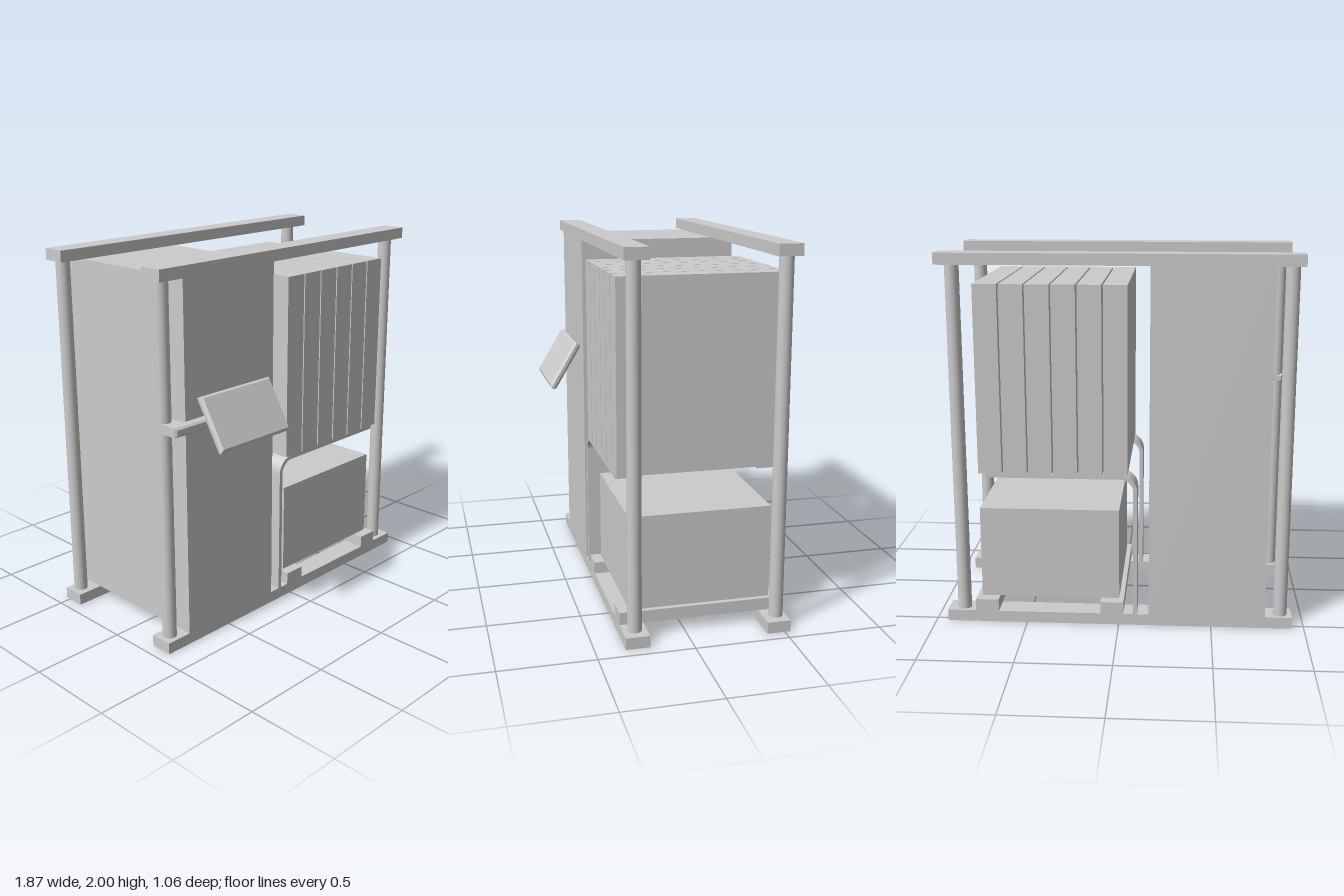
import * as THREE from 'three';

const material = new THREE.MeshStandardMaterial({ color: 0xcccccc });
const FRONT = 0.345, BACK = -0.53;      // outer faces of the frame
const RAIL_DEPTH = 0.125;

export function createModel() {
  const model = new THREE.Group();
  model.name = 'equipmentRack';

  const add = (name, geometry, parent = model) => {
    const mesh = new THREE.Mesh(geometry, material);
    mesh.name = name;
    parent.add(mesh);
    return mesh;
  };
  // Box given by its limits on each axis
  const box = (name, x0, x1, y0, y1, z0, z1, parent) => {
    const mesh = add(name, new THREE.BoxGeometry(x1 - x0, y1 - y0, z1 - z0), parent);
    mesh.position.set((x0 + x1) / 2, (y0 + y1) / 2, (z0 + z1) / 2);
    return mesh;
  };
  // Centred box with chamfered edges
  const chamferBox = (w, h, d, c) => {
    const x = w / 2 - c, y = h / 2 - c;
    const shape = new THREE.Shape([[-x, -y], [x, -y], [x, y], [-x, y]].map(p => new THREE.Vector2(...p)));
    return new THREE.ExtrudeGeometry(shape, {
      depth: d - 2 * c, bevelThickness: c, bevelSize: c, bevelSegments: 1,
    }).translate(0, 0, -d / 2 + c);
  };

  // Profile of the bent support strip: up from the floor, then along under the slabs
  const strip = new THREE.Shape();
  strip.moveTo(-0.1, 0.06);
  strip.lineTo(-0.078, 0.06);
  strip.lineTo(-0.078, 0.755);
  strip.absarc(-0.008, 0.755, 0.07, Math.PI, Math.PI / 2, true);
  strip.lineTo(0.705, 0.825);
  strip.lineTo(0.705, 0.846);
  strip.lineTo(-0.008, 0.846);
  strip.absarc(-0.008, 0.755, 0.091, Math.PI / 2, Math.PI, false);
  strip.closePath();

  // Two matching frames, front and back: rails, posts and support strip
  for (const [side, z0] of [['front', FRONT - RAIL_DEPTH], ['back', BACK]]) {
    const frame = new THREE.Group();
    frame.name = side + 'Frame';
    model.add(frame);
    const z1 = z0 + RAIL_DEPTH;
    box('bottomRail', -0.935, 0.935, 0, 0.062, z0, z1, frame);
    box('topRail', -0.935, 0.935, 1.94, 2, z0, z1, frame);
    for (const x of [-0.873, 0.852]) {
      const post = add('post', new THREE.CylinderGeometry(0.037, 0.037, 1.88, 32, 1, true), frame);
      post.position.set(x, 1.001, z0 + (side === 'front' ? 0.062 : 0.054));
    }
    const support = add('supportStrip',
      new THREE.ExtrudeGeometry(strip, { depth: RAIL_DEPTH, bevelEnabled: false, curveSegments: 10 }), frame);
    support.position.z = z0;
  }

  // Tall cabinet
  box('cabinet', -0.79, -0.162, 0.062, 1.94, BACK, FRONT);

  // Row of upright slabs on the strips
  for (let i = 0; i < 6; i++) {
    const x = -0.048 + i * 0.133;
    box('slab', x, x + 0.125, 0.846, 1.845, BACK, FRONT);
  }

  // Lower box on two cross beams
  box('lowerBox', 0, 0.753, 0.128, 0.632, -0.47, 0.288);
  for (const x of [-0.026, 0.655]) box('crossBeam', x, x + 0.125, 0.062, 0.128, BACK, FRONT);

  // Arm from the front post to the screen
  const arm = new THREE.Group();
  arm.name = 'screenArm';
  model.add(arm);
  add('armClamp', chamferBox(0.09, 0.05, 0.13, 0.01), arm).position.set(-0.865, 1.215, 0.31);
  add('armBar', chamferBox(0.36, 0.05, 0.06, 0.01), arm).position.set(-0.73, 1.215, 0.378);

  // Tilted screen
  const screen = add('screen', chamferBox(0.498, 0.297, 0.042, 0.013));
  screen.position.set(-0.472, 1.218, 0.44);
  screen.rotation.x = -0.54;

  return model;
}
